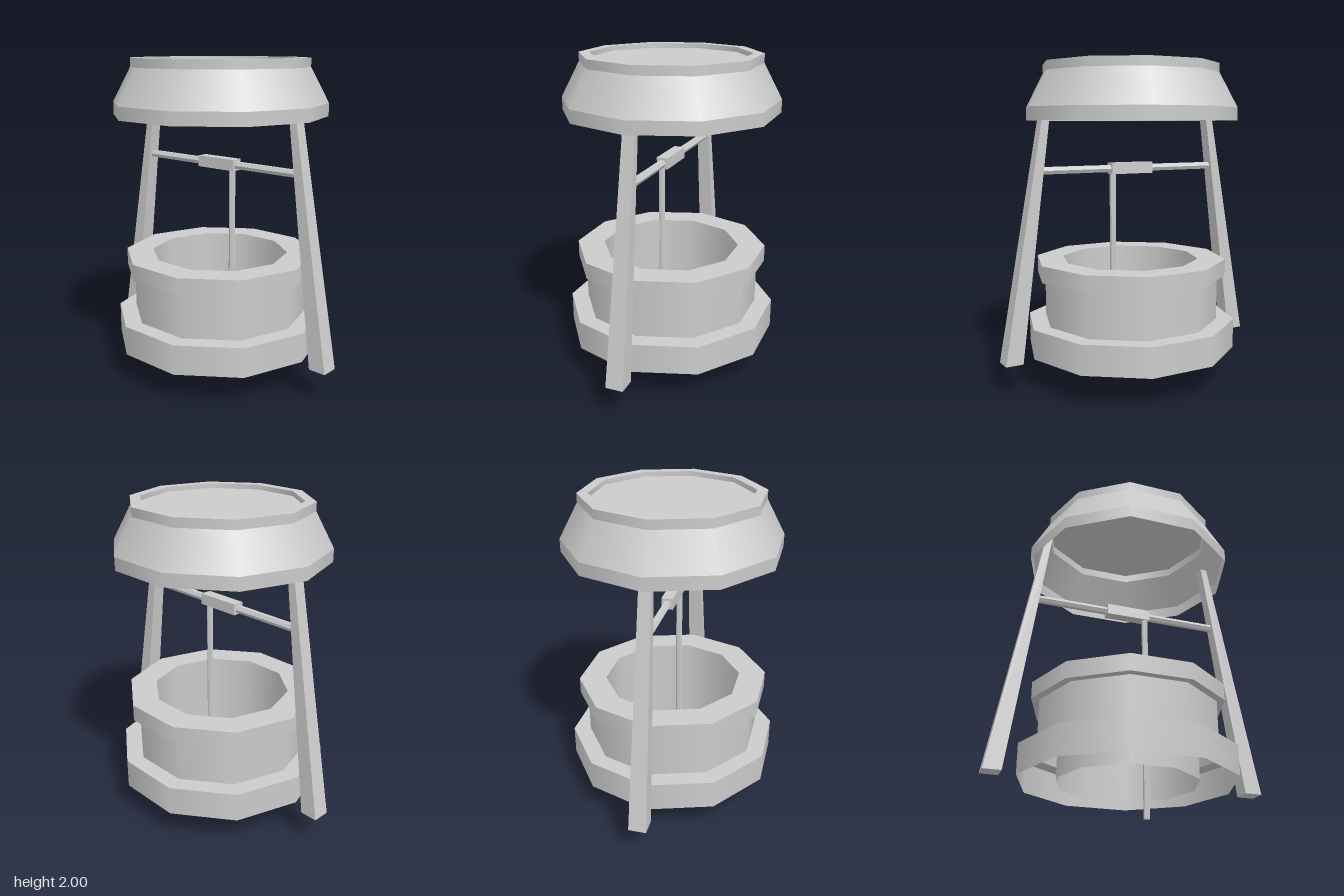
import * as THREE from 'three';
import { mergeGeometries } from 'three/addons/utils/BufferGeometryUtils.js';

const SIDES = 10;
const solid = new THREE.MeshStandardMaterial({ color: 0xcccccc });
const flat = new THREE.MeshStandardMaterial({ color: 0xcccccc, flatShading: true });
const shell = new THREE.MeshStandardMaterial({ color: 0xcccccc, side: THREE.DoubleSide });

function add(group, name, geometry, material) {
  const mesh = new THREE.Mesh(geometry, material);
  mesh.name = name;
  group.add(mesh);
  return mesh;
}

// Ten-sided turned shell: smooth around, sharp between profile bands
function turned(profile) {
  const bands = [];
  for (let i = 0; i < profile.length - 1; i++) {
    const pair = [profile[i], profile[i + 1]].map(([r, y]) => new THREE.Vector2(r, y));
    bands.push(new THREE.LatheGeometry(pair, SIDES, Math.PI / 2));
  }
  return mergeGeometries(bands);
}

// Leaning post on the +x or -x side, narrowing towards the top
function postGeometry(side) {
  const bottom = { y: 0.2, x: 0.815, w: 0.11, d: 0.11 };
  const top = { y: 1.8, x: 0.562, w: 0.042, d: 0.068 };
  const geometry = new THREE.BoxGeometry(1, 1, 1);
  const p = geometry.attributes.position;
  for (let i = 0; i < p.count; i++) {
    const end = p.getY(i) > 0 ? top : bottom;
    p.setXYZ(i, side * end.x + p.getX(i) * end.w, end.y, p.getZ(i) * end.d);
  }
  geometry.computeVertexNormals();
  return geometry;
}

export function createModel() {
  const model = new THREE.Group();
  model.name = 'well';

  // Stepped wall with an open shaft
  add(model, 'wellWall', turned([
    [0.67, 0.2], [0.67, 0.385], [0.56, 0.385], [0.56, 0.67],
    [0.61, 0.67], [0.61, 0.775], [0.437, 0.775], [0.437, 0.2],
  ]), shell);

  // Hollow roof with a sunken cap
  add(model, 'roof', turned([
    [0.67, 1.65], [0.67, 1.73], [0.555, 1.945], [0.555, 2],
    [0.49, 2], [0.49, 1.97], [0, 1.97],
  ]), shell);

  // Posts
  add(model, 'leftPost', postGeometry(1), solid);
  add(model, 'rightPost', postGeometry(-1), solid);

  // Axle, drum and hanging rope
  const axle = add(model, 'axle', new THREE.CylinderGeometry(0.025, 0.025, 1.22, 6), flat);
  axle.rotation.z = Math.PI / 2;
  axle.position.y = 1.352;
  const drum = add(model, 'drum', new THREE.BoxGeometry(0.29, 0.07, 0.07), solid);
  drum.position.set(-0.003, 1.353, 0);
  const rope = add(model, 'rope', new THREE.CylinderGeometry(0.02, 0.02, 1.34, 6), flat);
  rope.position.set(0.116, 0.67, 0.012);

  return model;
}
